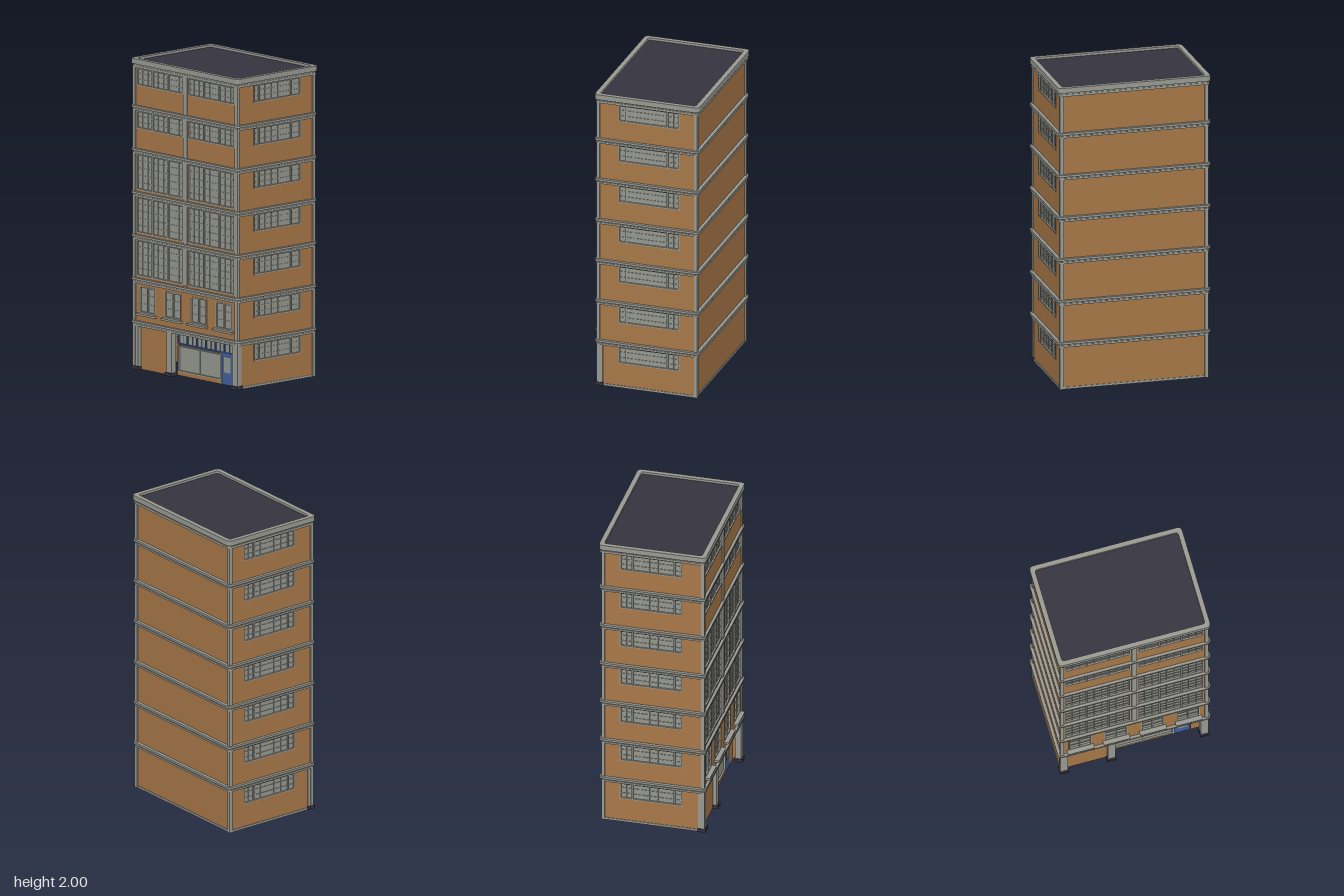
import * as THREE from 'three';

const mat = (name, color) => {
  const m = new THREE.MeshStandardMaterial({ color });
  m.name = name;
  return m;
};

export function createModel() {
  const brick = mat('brick', 0xa87848), stone = mat('stone', 0x9a9a93);
  const glass = mat('glass', 0x95988f), slate = mat('roof slate', 0x35333f);
  const blue = mat('blue paint', 0x40609c);
  glass.side = THREE.DoubleSide;

  const root = new THREE.Group();
  root.name = 'building';

  const group = (name, parent = root) => {
    const g = new THREE.Group();
    g.name = name;
    parent.add(g);
    return g;
  };

  // Box given by its limits on each axis
  const box = (parent, name, m, x0, x1, y0, y1, z0, z1) => {
    const mesh = new THREE.Mesh(new THREE.BoxGeometry(x1 - x0, y1 - y0, z1 - z0), m);
    mesh.position.set((x0 + x1) / 2, (y0 + y1) / 2, (z0 + z1) / 2);
    mesh.name = name;
    parent.add(mesh);
    return mesh;
  };

  const trace = (p, x0, x1, y0, y1, r) => {
    p.moveTo(x0 + r, y0);
    p.lineTo(x1 - r, y0);
    p.quadraticCurveTo(x1, y0, x1, y0 + r);
    p.lineTo(x1, y1 - r);
    p.quadraticCurveTo(x1, y1, x1 - r, y1);
    p.lineTo(x0 + r, y1);
    p.quadraticCurveTo(x0, y1, x0, y1 - r);
    p.lineTo(x0, y0 + r);
    p.quadraticCurveTo(x0, y0, x0 + r, y0);
    return p;
  };

  // Horizontal slab with rounded corners, optionally hollow
  const slab = (parent, name, m, x0, x1, z0, z1, y0, y1, r, rim = 0) => {
    const s = trace(new THREE.Shape(), x0, x1, -z1, -z0, r);
    if (rim) s.holes.push(trace(new THREE.Path(), x0 + rim, x1 - rim, -z1 + rim, -z0 - rim, r * 0.6));
    const geo = new THREE.ExtrudeGeometry(s, { depth: y1 - y0, bevelEnabled: false, curveSegments: 4 });
    geo.rotateX(-Math.PI / 2);
    const mesh = new THREE.Mesh(geo, m);
    mesh.position.y = y0;
    mesh.name = name;
    parent.add(mesh);
  };

  // Wall in a local frame: x along, y up, outer face at z = 0
  const wall = (parent, u0, u1, y0, y1, holes = []) => {
    const s = new THREE.Shape();
    s.moveTo(u0, y0); s.lineTo(u1, y0); s.lineTo(u1, y1); s.lineTo(u0, y1); s.closePath();
    for (const [a, b, c, d] of holes) {
      const p = new THREE.Path();
      p.moveTo(a, c); p.lineTo(a, d); p.lineTo(b, d); p.lineTo(b, c); p.closePath();
      s.holes.push(p);
    }
    const geo = new THREE.ExtrudeGeometry(s, { depth: 0.02, bevelEnabled: false });
    geo.translate(0, 0, -0.02);
    const mesh = new THREE.Mesh(geo, brick);
    mesh.name = 'wall';
    parent.add(mesh);
  };

  // Window with frame, heavy mullions and thin glazing bars
  const win = (parent, [a, b, c, d], heavy, bars, rows, m = stone) => {
    const g = group('window', parent);
    const t = 0.008;
    box(g, 'pane', glass, a, b, c, d, -0.014, -0.008);
    for (const [x0, x1, y0, y1] of [[a, b, c, c + t], [a, b, d - t, d], [a, a + t, c, d], [b - t, b, c, d]])
      box(g, 'frame', m, x0, x1, y0, y1, -0.014, 0.003);
    for (const x of heavy) box(g, 'mullion', m, x - 0.005, x + 0.005, c + t, d - t, -0.009, 0.001);
    for (const x of bars) box(g, 'glazingBar', m, x - 0.002, x + 0.002, c + t, d - t, -0.009, -0.004);
    for (let i = 1; i < rows; i++) {
      const y = c + (d - c) * i / rows;
      box(g, 'glazingBar', m, a + t, b - t, y - 0.002, y + 0.002, -0.009, -0.004);
    }
  };
  const spread = (a, b, n) => Array.from({ length: n - 1 }, (_, i) => a + (b - a) * (i + 1) / n);

  // Storeys
  const H = 0.277, sillY = i => 0.165 + i * H, beltY = i => 0.28 + i * H;

  // Front and back walls with one wide window on each floor
  for (const side of [1, -1]) {
    const g = group(side > 0 ? 'frontWall' : 'backWall');
    g.position.z = side * 0.48;
    if (side < 0) g.rotation.y = Math.PI;
    const X = v => v * side;
    const a = Math.min(X(-0.19), X(0.217)), b = Math.max(X(-0.19), X(0.217));
    const holes = Array.from({ length: 7 }, (_, i) => [a, b, sillY(i), beltY(i)]);
    wall(g, -0.325, 0.325, 0, 1.96, holes);
    for (const h of holes)
      win(g, h, [X(-0.14), X(0.135)], [...spread(-0.14, 0.135, 5), 0.175].map(X), 3);
    box(g, 'baseStrip', stone, -0.33, 0.33, 0, 0.014, -0.01, 0.004);
  }

  // Plain party wall
  const plain = group('leftWall');
  plain.position.x = 0.327;
  plain.rotation.y = Math.PI / 2;
  wall(plain, -0.48, 0.48, 0, 1.96);
  box(plain, 'baseStrip', stone, -0.48, 0.48, 0, 0.014, -0.01, 0.004);

  // Street facade: local x runs along world z
  const facade = group('streetFacade');
  facade.position.x = -0.328;
  facade.rotation.y = -Math.PI / 2;
  const small = [-0.355, -0.12, 0.12, 0.355].map(u => [u - 0.075, u + 0.075, 0.37, 0.54]);
  const big = [];
  for (let i = 2; i < 7; i++)
    for (const [a, b] of [[-0.455, -0.022], [0.022, 0.455]])
      big.push([a, b, i < 5 ? beltY(i - 1) + 0.045 : sillY(i), beltY(i)]);
  wall(facade, -0.48, 0.48, 0.29, 1.96, [...small, ...big]);
  for (const h of small) win(facade, h, [(h[0] + h[1]) / 2], [], 3);
  for (const h of big) {
    const third = spread(h[0], h[1], 3);
    win(facade, h, third, spread(h[0], h[1], 9), h[3] - h[2] > 0.15 ? 5 : 3);
  }
  box(facade, 'centrePier', stone, -0.018, 0.018, 0.6, 1.95, -0.01, 0.008);
  for (const u of [-0.355, -0.12, 0.12, 0.355])
    slab(root, 'windowSill', stone, -0.36, -0.32, u - 0.088, u + 0.088, 0.355, 0.368, 0.012);

  // Recessed shopfront
  const shop = group('shopfront');
  shop.position.x = -0.275;
  shop.rotation.y = -Math.PI / 2;
  wall(shop, 0.385, 0.47, 0, 0.285);
  wall(shop, -0.14, 0.27, 0, 0.025);
  win(shop, [-0.13, 0.27, 0.025, 0.195], [], [0.07], 1);
  win(shop, [-0.13, 0.385, 0.2, 0.28], spread(-0.13, 0.385, 6), spread(-0.13, 0.385, 12), 1, blue);
  const door = group('door', shop);
  box(door, 'doorLeaf', blue, 0.28, 0.38, 0, 0.2, -0.015, 0);
  box(door, 'doorPane', glass, 0.3, 0.36, 0.08, 0.18, -0.018, 0.003);
  box(shop, 'doorPost', stone, 0.268, 0.28, 0, 0.2, -0.015, 0.004);
  const bay = group('sideBay');
  bay.position.x = -0.31;
  bay.rotation.y = -Math.PI / 2;
  wall(bay, -0.46, -0.15, 0, 0.285);

  // Shopfront columns on dark plinths
  for (const z of [-0.46, -0.15, 0.46]) {
    const g = group('column');
    box(g, 'shaft', stone, -0.335, -0.295, 0.02, 0.285, z - 0.024, z + 0.024);
    box(g, 'plinth', slate, -0.345, -0.29, 0, 0.022, z - 0.03, z + 0.03);
  }

  // Corner trims
  for (const x of [-1, 1])
    for (const z of [-1, 1])
      box(root, 'cornerTrim', stone, Math.min(x * 0.315, x * 0.336), Math.max(x * 0.315, x * 0.336),
        x < 0 ? 0.02 : 0, 1.95, Math.min(z * 0.462, z * 0.487), Math.max(z * 0.462, z * 0.487));

  // Stepped belt course above each of the first six floors
  for (let i = 0; i < 6; i++) {
    const g = group('beltCourse'), y = beltY(i);
    slab(g, 'lowerLedge', stone, -0.34, 0.342, -0.493, 0.493, y, y + 0.012, 0.02);
    slab(g, 'middleBand', stone, -0.336, 0.337, -0.488, 0.488, y + 0.012, y + 0.02, 0.02);
    slab(g, 'upperLedge', stone, -0.346, 0.348, -0.5, 0.5, y + 0.02, y + 0.034, 0.025);
  }

  // Cornice, parapet and roof
  const top = group('cornice');
  slab(top, 'lowerLedge', stone, -0.34, 0.346, -0.493, 0.493, 1.942, 1.957, 0.02);
  slab(top, 'middleBand', stone, -0.336, 0.342, -0.488, 0.488, 1.957, 1.966, 0.02);
  slab(top, 'parapet', stone, -0.347, 0.352, -0.5, 0.5, 1.966, 2, 0.03, 0.031);
  slab(top, 'roof', slate, -0.32, 0.325, -0.475, 0.475, 1.96, 1.985, 0.02);

  return root;
}
